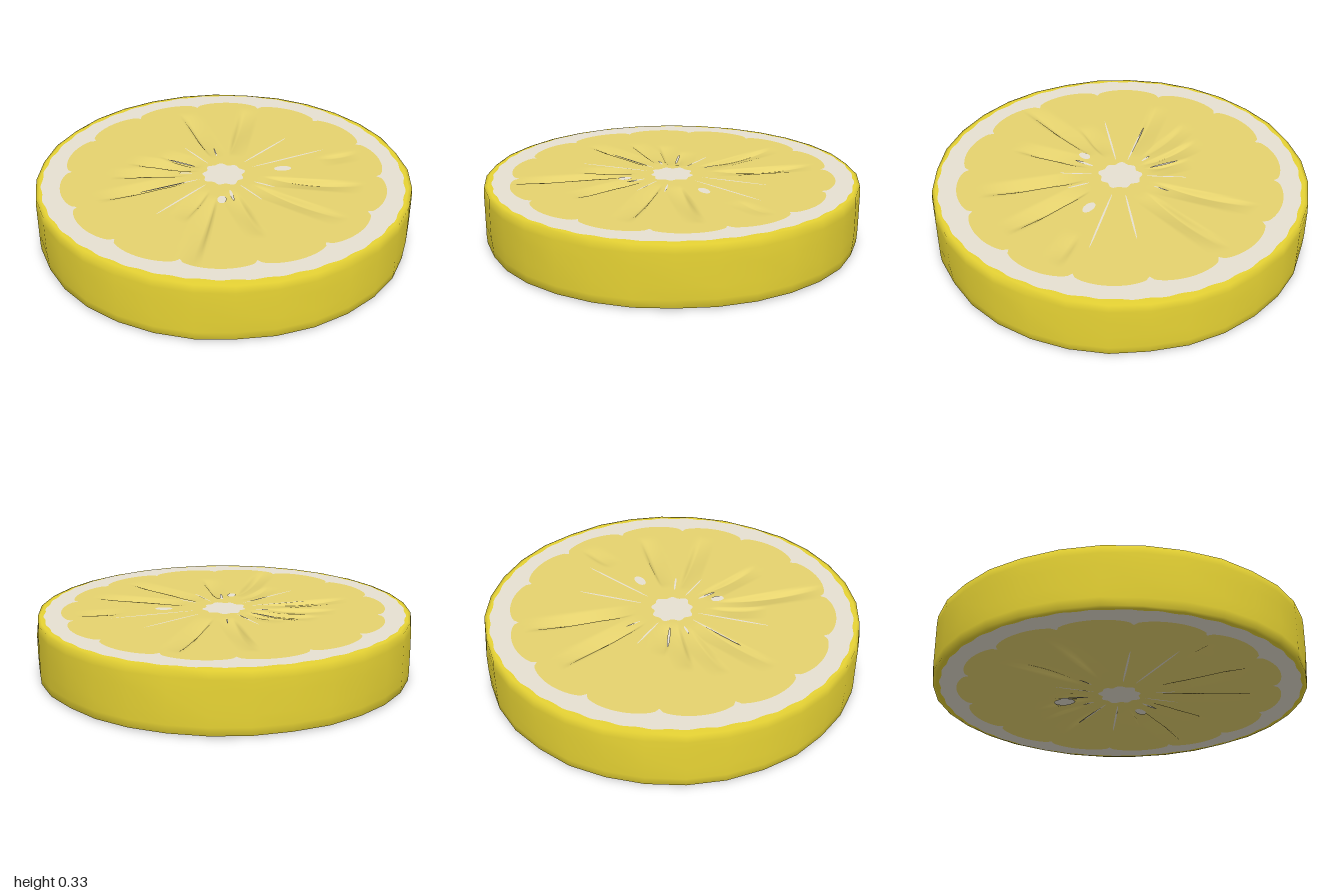
import * as THREE from 'three';
import { mergeVertices } from 'three/addons/utils/BufferGeometryUtils.js';

const HEIGHT = 0.33, FACE = HEIGHT / 2 - 0.003, STEPS = 280;

const mat = (name, color) => new THREE.MeshStandardMaterial({ name, color });

// Radial dents in the pulp: angle in degrees, inner radius, outer radius, depth
const DENTS = [
  [19, 0.2, 0.62, 0.022], [46, 0.25, 0.85, 0.028], [60, 0.2, 0.5, 0.016],
  [104, 0.2, 0.7, 0.02], [124, 0.2, 0.6, 0.018], [140, 0.15, 0.52, 0.022],
  [156, 0.15, 0.4, 0.014], [198, 0.2, 0.74, 0.026], [226, 0.22, 0.78, 0.028],
  [316, 0.22, 0.74, 0.028], [343, 0.2, 0.75, 0.024], [289, 0.55, 0.78, 0.012],
];

// Height of the cut face: sharp on one side of each dent, sloping on the other
function faceHeight(r, a) {
  let y = FACE;
  for (const [deg, r0, r1, depth] of DENTS) {
    const da = a - THREE.MathUtils.degToRad(deg);
    if (r <= r0 || r >= r1 || Math.cos(da) < 0) continue;
    const d = r * Math.sin(da);
    const across = d > 0 ? Math.max(0, 1 - d / 0.09) : Math.max(0, 1 + d / 0.015);
    y -= depth * across * Math.sin(Math.PI * (r - r0) / (r1 - r0));
  }
  return y;
}

// Boundaries between the zones of the cut face
const centre = () => 0;
const coreEdge = a => 0.108 + 0.008 * Math.sin(9 * a) + 0.005 * Math.sin(4 * a + 1);
const pulpEdge = a => 0.815 + 0.055 * Math.pow(Math.abs(Math.sin(7 * a)), 0.45);
const pithEdge = a => 0.96 + 0.004 * Math.sin(40 * a) + 0.005 * Math.sin(3 * a + 2);

// Ring-shaped sheet between two boundaries, facing up
function ringSheet(inner, outer, rings) {
  const pos = [], idx = [];
  for (let j = 0; j <= rings; j++) {
    for (let i = 0; i < STEPS; i++) {
      const a = i / STEPS * Math.PI * 2;
      const r = THREE.MathUtils.lerp(inner(a), outer(a), j / rings);
      pos.push(r * Math.cos(a), faceHeight(r, a), r * Math.sin(a));
      if (j === rings) continue;
      const n = (i + 1) % STEPS, p = j * STEPS, q = p + STEPS;
      if (j > 0 || inner !== centre) idx.push(p + i, p + n, q + i);
      idx.push(p + n, q + n, q + i);
    }
  }
  const g = new THREE.BufferGeometry();
  g.setAttribute('position', new THREE.Float32BufferAttribute(pos, 3));
  g.setIndex(idx);
  g.computeVertexNormals();
  return g;
}

// Peel with slightly uneven upper and lower edges
function rindGeometry() {
  const h = HEIGHT / 2, lip = FACE - 0.002;
  const profile = [[0.92, -lip], [0.978, -h + 0.003], [0.997, -h + 0.008], [1, -h + 0.05], [1, -0.05],
    [1, 0.05], [1, h - 0.05], [0.997, h - 0.008], [0.978, h - 0.003], [0.92, lip]];
  let g = new THREE.LatheGeometry(profile.map(p => new THREE.Vector2(...p)), 32);
  g.deleteAttribute('normal');
  g.deleteAttribute('uv');
  g = mergeVertices(g, 1e-4);
  const p = g.attributes.position;
  for (let i = 0; i < p.count; i++) {
    const x = p.getX(i), y = p.getY(i), z = p.getZ(i), a = Math.atan2(z, x);
    if (Math.hypot(x, z) < 0.99 || Math.abs(y) < 0.08) continue;
    const wave = Math.sin(5 * a + 9 * y) + Math.sin(11 * a + 2);
    const s = 1 - 0.004 * Math.max(0, wave);
    p.setXYZ(i, x * s, y, z * s);
  }
  g.computeVertexNormals();
  return g;
}

export function createModel() {
  const model = new THREE.Group();
  model.name = 'citrusSlice';
  const rindMat = mat('rindYellow', 0xecd835);
  const pithMat = mat('pithWhite', 0xf3ecdc);
  const pulpMat = mat('pulpYellow', 0xe6d36e);

  const add = (parent, name, geometry, material) => {
    const mesh = new THREE.Mesh(geometry, material);
    mesh.name = name;
    parent.add(mesh);
    return mesh;
  };

  const rind = add(model, 'rind', rindGeometry(), rindMat);
  rind.position.y = HEIGHT / 2;

  const core = ringSheet(centre, coreEdge, 3);
  const pulp = ringSheet(coreEdge, pulpEdge, 32);
  const pith = ringSheet(pulpEdge, pithEdge, 3);
  const oval = new THREE.CircleGeometry(1, 14).rotateX(-Math.PI / 2);

  // Membrane streaks: angle in degrees, inner radius, outer radius, half width
  const streaks = [
    [0, 0.14, 0.33, 0.004], [180, 0.14, 0.36, 0.004], [77, 0.14, 0.53, 0.005],
    [103, 0.14, 0.48, 0.005], [258, 0.17, 0.54, 0.005], [281, 0.17, 0.62, 0.005],
    [26, 0.17, 0.28, 0.008], [154, 0.17, 0.34, 0.007], [206, 0.2, 0.29, 0.004],
    [334, 0.18, 0.3, 0.005], [129, 0.17, 0.24, 0.006],
  ];

  // Both cut faces; pips are x, z, half length, half width, angle
  const buildFace = (name, pips) => {
    const face = new THREE.Group();
    face.name = name;
    add(face, 'core', core, pithMat);
    add(face, 'pulp', pulp, pulpMat);
    add(face, 'pith', pith, pithMat);
    for (const [deg, r0, r1, w] of streaks) {
      const a = THREE.MathUtils.degToRad(deg), r = (r0 + r1) / 2;
      const m = add(face, 'membrane', oval, pithMat);
      m.position.set(r * Math.cos(a), FACE + 0.0015, r * Math.sin(a));
      m.rotation.y = -a;
      m.scale.set((r1 - r0) / 2, 1, w);
    }
    for (const [x, z, l, w, deg] of pips) {
      const m = add(face, 'pip', oval, pithMat);
      m.position.set(x, FACE + 0.002, z);
      m.rotation.y = -THREE.MathUtils.degToRad(deg);
      m.scale.set(l, 1, w);
    }
    face.position.y = HEIGHT / 2;
    model.add(face);
    return face;
  };

  buildFace('topFace', [[0.145, -0.29, 0.047, 0.026, -60], [0.205, 0.165, 0.036, 0.024, 40]]);
  const bottom = buildFace('bottomFace', [[-0.26, 0.18, 0.06, 0.045, 140], [0.18, 0.19, 0.045, 0.026, 45]]);
  bottom.rotation.x = Math.PI;
  return model;
}
